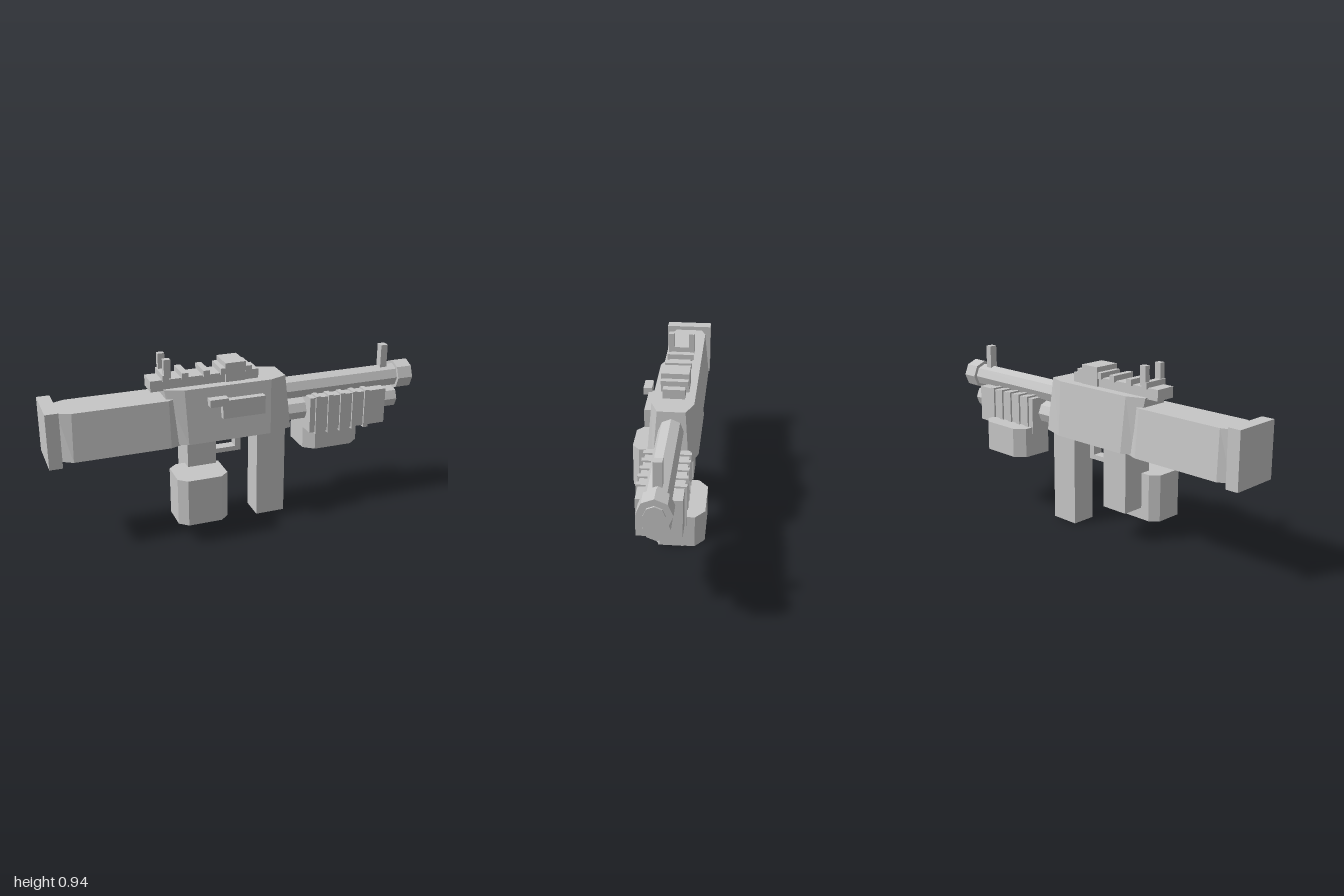
import * as THREE from 'three';

const CZ = -0.027; // centre plane of the main assembly

export function createModel() {
  const model = new THREE.Group();
  const grey = new THREE.MeshStandardMaterial({ color: 0xc6c6c6, flatShading: true });
  grey.name = 'plain light grey';

  const add = (name, geometry) => {
    const mesh = new THREE.Mesh(geometry, grey);
    mesh.name = name;
    model.add(mesh);
    return mesh;
  };

  // Box given by its limits on each axis
  const box = (name, x0, x1, y0, y1, z0, z1) =>
    add(name, new THREE.BoxGeometry(x1 - x0, y1 - y0, z1 - z0))
      .position.set((x0 + x1) / 2, (y0 + y1) / 2, (z0 + z1) / 2);

  // Eight-sided tube along x
  const tube = (name, x0, x1, y, radius) => {
    const g = new THREE.CylinderGeometry(radius, radius, x1 - x0, 8);
    g.rotateZ(-Math.PI / 2);
    add(name, g).position.set((x0 + x1) / 2, y, CZ);
  };

  // Tapered block from trapezoid sections: [xBottom, xTop, halfBottom, halfTop]
  const loft = (name, y0, y1, sections) => {
    const pos = [];
    const rings = sections.map(([xb, xt, hb, ht]) => [
      [xb, y0, CZ + hb], [xb, y0, CZ - hb], [xt, y1, CZ - ht], [xt, y1, CZ + ht],
    ]);
    const quad = (a, b, c, d) => pos.push(...a, ...b, ...c, ...a, ...c, ...d);
    for (let s = 0; s < rings.length - 1; s++) {
      const a = rings[s], b = rings[s + 1];
      for (let i = 0; i < 4; i++) {
        const j = (i + 1) % 4;
        quad(a[i], a[j], b[j], b[i]);
      }
    }
    const first = rings[0], last = rings[rings.length - 1];
    quad(first[3], first[2], first[1], first[0]);
    quad(last[0], last[1], last[2], last[3]);
    const g = new THREE.BufferGeometry();
    g.setAttribute('position', new THREE.Float32BufferAttribute(pos, 3));
    g.computeVertexNormals();
    add(name, g);
  };

  // Upright block with all four corners cut by cx along x and cz along z
  const cutBlock = (name, x0, x1, y0, y1, z0, z1, cx, cz) => {
    const shape = new THREE.Shape([
      [x0 + cx, z0], [x1 - cx, z0], [x1, z0 + cz], [x1, z1 - cz],
      [x1 - cx, z1], [x0 + cx, z1], [x0, z1 - cz], [x0, z0 + cz],
    ].map(([x, z]) => new THREE.Vector2(x, -z)));
    const g = new THREE.ExtrudeGeometry(shape, { depth: y1 - y0, bevelEnabled: false });
    g.rotateX(-Math.PI / 2);
    add(name, g).position.y = y0;
  };

  // Main body and rear stock
  loft('body', 0.497, 0.782, [
    [-0.36, -0.405, 0.1, 0.07],
    [-0.3, -0.31, 0.131, 0.106],
    [0.14, 0.15, 0.131, 0.106],
    [0.268, 0.242, 0.09, 0.07],
  ]);
  loft('stock', 0.491, 0.735, [
    [-0.935, -0.935, 0.09, 0.075],
    [-0.88, -0.87, 0.124, 0.1],
    [-0.39, -0.39, 0.124, 0.1],
    [-0.3, -0.33, 0.09, 0.07],
  ]);
  box('buttPlate', -1, -0.934, 0.472, 0.757, -0.154, 0.101);

  // Barrel, muzzle and lower tube
  tube('barrel', 0.18, 0.93, 0.683, 0.063);
  tube('muzzle', 0.906, 0.991, 0.683, 0.08);
  tube('muzzleTip', 0.98, 1, 0.683, 0.048);
  tube('lowerTube', 0.18, 0.913, 0.56, 0.062);

  // Ribbed handguard with its side block
  box('handguard', 0.373, 0.815, 0.453, 0.647, -0.132, 0.079);
  for (let i = 0; i < 5; i++) {
    const x = 0.403 + i * 0.071;
    box('handguardRib', x, x + 0.026, 0.443, 0.656, -0.142, 0.089);
  }
  cutBlock('handguardBlock', 0.378, 0.7, 0.329, 0.488, -0.222, 0.027, 0.055, 0.044);

  // Parts under the body
  box('frontPost', 0.09, 0.248, 0, 0.52, -0.093, 0.04);
  box('rearGrip', -0.297, -0.145, 0.169, 0.52, -0.115, 0.062);
  cutBlock('sideMagazine', -0.39, -0.127, 0.108, 0.356, 0.006, 0.222, 0.044, 0.038);
  box('guardBar', -0.15, 0.013, 0.38, 0.405, -0.055, 0);
  box('guardPost', -0.018, 0.013, 0.38, 0.51, -0.055, 0);

  // Side panel and handle
  box('sidePanel', -0.125, 0.103, 0.62, 0.716, 0.05, 0.122);
  box('sideHandle', -0.2, -0.104, 0.7, 0.739, 0.105, 0.15);

  // Top rail with cross bars and block
  box('rail', -0.47, 0.098, 0.775, 0.831, CZ - 0.056, CZ + 0.056);
  for (const x of [-0.409, -0.31, -0.198, -0.108, 0.026]) {
    box('railBar', x, x + 0.032, 0.826, 0.858, CZ - 0.069, CZ + 0.069);
  }
  box('railBlock', -0.083, 0.024, 0.785, 0.884, CZ - 0.071, CZ + 0.071);

  // Sights
  for (const side of [-1, 1]) {
    const z = CZ + side * 0.054;
    box('rearSight', -0.402, -0.367, 0.84, 0.937, z - 0.015, z + 0.015);
  }
  box('frontSight', 0.822, 0.86, 0.7, 0.862, CZ - 0.021, CZ + 0.021);

  return model;
}
